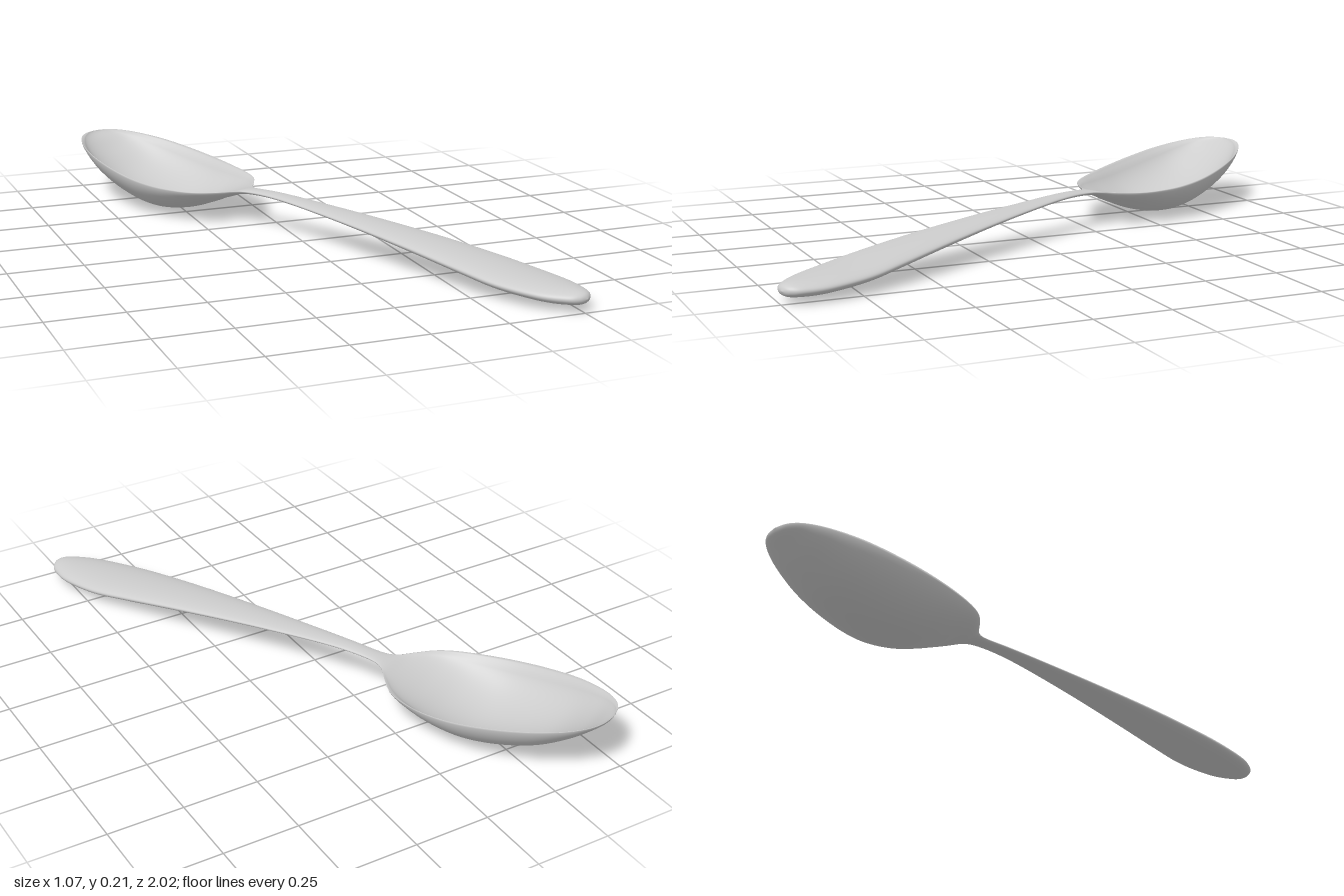
import * as THREE from 'three';

// Stations along the spoon: distance, half width, edge height, top height, bottom height
const STATIONS = [
  [-1.10, 0, 0.208, 0.208, 0.208],
  [-1.09, 0.05, 0.207, 0.198, 0.192],
  [-1.06, 0.095, 0.202, 0.178, 0.166],
  [-1.0, 0.138, 0.192, 0.135, 0.118],
  [-0.9, 0.178, 0.176, 0.075, 0.058],
  [-0.78, 0.202, 0.156, 0.035, 0.018],
  [-0.66, 0.21, 0.138, 0.018, 0.001],
  [-0.55, 0.2, 0.126, 0.035, 0.017],
  [-0.46, 0.176, 0.121, 0.065, 0.048],
  [-0.4, 0.145, 0.119, 0.088, 0.073],
  [-0.35, 0.095, 0.119, 0.107, 0.091],
  [-0.31, 0.05, 0.121, 0.122, 0.105],
  [-0.26, 0.03, 0.124, 0.131, 0.113],
  [-0.15, 0.03, 0.127, 0.137, 0.117],
  [0, 0.04, 0.123, 0.134, 0.111],
  [0.25, 0.062, 0.109, 0.125, 0.092],
  [0.5, 0.085, 0.09, 0.111, 0.066],
  [0.72, 0.102, 0.068, 0.094, 0.04],
  [0.86, 0.106, 0.053, 0.081, 0.023],
  [1.0, 0.088, 0.045, 0.072, 0.016],
  [1.08, 0.055, 0.043, 0.066, 0.02],
  [1.11, 0.028, 0.043, 0.058, 0.028],
  [1.12, 0, 0.043, 0.043, 0.043],
];
const STEPS = 6;   // rings between neighbouring stations
const SIDES = 72;  // points around each ring
const OFFSET = 0.028;

// Smooth interpolation of all station columns at parameter t
function stationAt(t) {
  const last = STATIONS.length - 1;
  const i = Math.min(Math.floor(t), last - 1);
  const f = t - i;
  const row = (k) => STATIONS[THREE.MathUtils.clamp(k, 0, last)];
  return row(i).map((b, c) => {
    const a = row(i - 1)[c], d = row(i + 1)[c], e = row(i + 2)[c];
    return b + 0.5 * f * (d - a + f * (2 * a - 5 * b + 4 * d - e + f * (3 * (b - d) + e - a)));
  });
}

// Closed rings: a hollow crescent in the bowl, blending to an oval in the handle
function spoonGeometry() {
  const positions = [], index = [];
  const rings = (STATIONS.length - 1) * STEPS;
  for (let i = 0; i <= rings; i++) {
    const [u, w, edge, top, bottom] = stationAt(i / STEPS);
    const bowl = 1 - THREE.MathUtils.smoothstep(u, -0.42, -0.27);
    const lip = Math.min(0.012, w * 0.2) * bowl;
    for (let j = 0; j < SIDES; j++) {
      const a = (j / SIDES) * Math.PI * 2;
      const s = Math.sin(a), h = Math.abs(s);
      const inset = s > 0 ? lip * Math.min(1, h * 4) : 0;
      const y = edge + ((s > 0 ? top : bottom) - edge) * Math.pow(h, 1 + 0.2 * bowl);
      positions.push(OFFSET + Math.cos(a) * (w - inset), y, u);
      if (i < rings) {
        const p = i * SIDES + j, q = i * SIDES + (j + 1) % SIDES;
        index.push(p, q, p + SIDES, q, q + SIDES, p + SIDES);
      }
    }
  }
  const geometry = new THREE.BufferGeometry();
  geometry.setAttribute('position', new THREE.Float32BufferAttribute(positions, 3));
  geometry.setIndex(index);
  geometry.computeVertexNormals();
  return geometry;
}

export function createModel() {
  const group = new THREE.Group();
  group.name = 'spoon';
  // Bowl, neck and handle flow together as one piece, lying diagonally
  const body = new THREE.Mesh(spoonGeometry(), new THREE.MeshStandardMaterial({ color: 0xcccccc }));
  body.name = 'bowlAndHandle';
  body.rotation.y = THREE.MathUtils.degToRad(25.5);
  group.add(body);
  return group;
}
